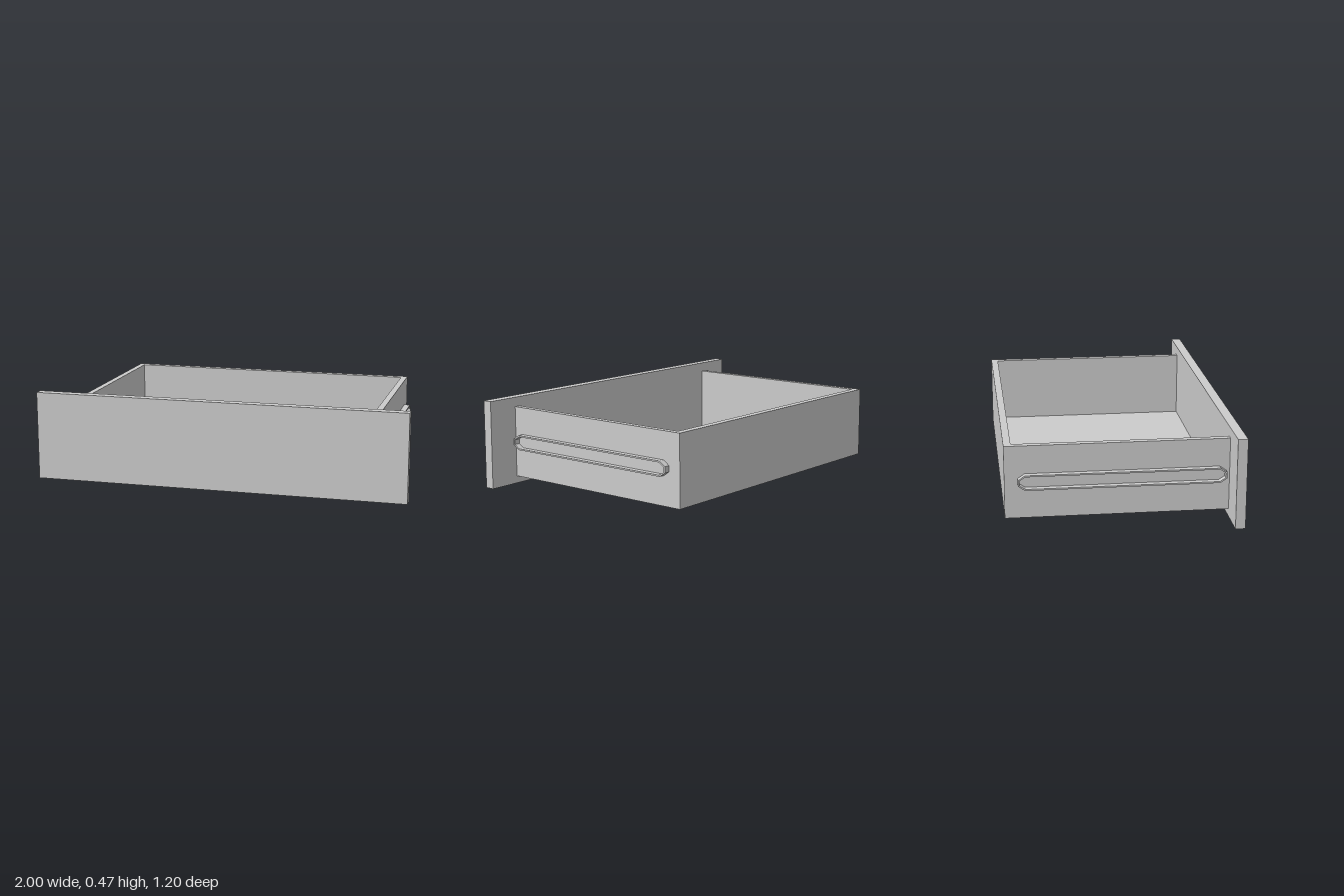
import * as THREE from 'three';

const material = new THREE.MeshStandardMaterial({ color: 0xcccccc, flatShading: true });

// Box given by its minimum and maximum corners
function slab(name, [x0, y0, z0], [x1, y1, z1]) {
  const mesh = new THREE.Mesh(new THREE.BoxGeometry(x1 - x0, y1 - y0, z1 - z0), material);
  mesh.name = name;
  mesh.position.set((x0 + x1) / 2, (y0 + y1) / 2, (z0 + z1) / 2);
  return mesh;
}

// Long outline with chamfered ends, shrunk by an inset
function runnerOutline(inset) {
  const end = 0.53 - inset, shoulder = 0.495 - inset * 0.4;
  const half = 0.04 - inset, tip = 0.016 - inset * 0.4;
  return [
    [end, -tip], [end, tip], [shoulder, half], [-shoulder, half],
    [-end, tip], [-end, -tip], [-shoulder, -half], [shoulder, -half],
  ].map(([a, b]) => new THREE.Vector2(a, b));
}

// Raised rim around a shallow channel, on one side wall
function runner(name, side) {
  const shape = new THREE.Shape(runnerOutline(0));
  shape.holes.push(new THREE.Path(runnerOutline(0.008).reverse()));
  const geometry = new THREE.ExtrudeGeometry(shape, { depth: 0.032, bevelEnabled: false });
  const mesh = new THREE.Mesh(geometry, material);
  mesh.name = name;
  mesh.rotation.y = side * Math.PI / 2;
  mesh.position.set(side * 0.823, 0.235, 0);
  return mesh;
}

export function createModel() {
  const group = new THREE.Group();
  group.name = 'drawer';

  // Overhanging front and the tray behind it
  group.add(
    slab('frontPanel', [-1, 0, 0.547], [1, 0.473, 0.598]),
    slab('backWall', [-0.823, 0.04, -0.598], [0.823, 0.422, -0.56]),
    slab('floor', [-0.79, 0.04, -0.56], [0.79, 0.06, 0.547]),
    slab('leftWall', [0.79, 0.04, -0.56], [0.823, 0.422, 0.547]),
    slab('rightWall', [-0.823, 0.04, -0.56], [-0.79, 0.422, 0.547]),
  );

  // Side runners
  group.add(runner('leftRunner', 1), runner('rightRunner', -1));
  return group;
}
